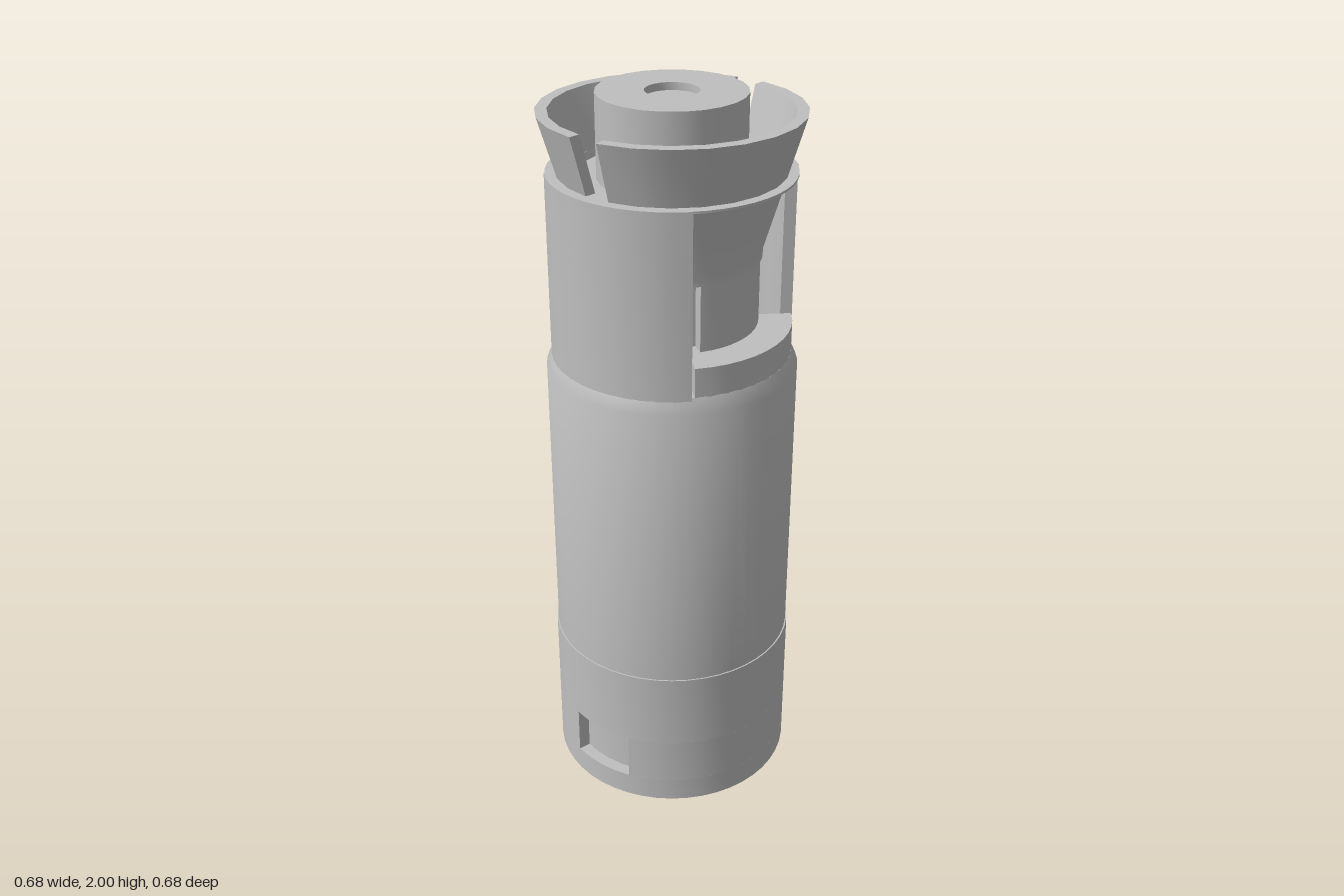
import * as THREE from 'three';
import { mergeGeometries, toCreasedNormals } from 'three/addons/utils/BufferGeometryUtils.js';

const TAU = Math.PI * 2;

// Revolve a counterclockwise [radius, y] profile through an angle range (0 = front), capping open ends.
function sector(profile, centre = 0, half = Math.PI, sides = 24) {
  const pts = profile.map(([r, y]) => new THREE.Vector2(r, y));
  const full = half >= Math.PI;
  const loop = profile[0][0] === 0 ? pts : [...pts, pts[0].clone()];
  const start = centre - half, span = half * 2;
  const segments = Math.max(2, Math.round(sides * span / TAU));
  const parts = [new THREE.LatheGeometry(loop, segments, start, span)];
  if (!full) {
    for (const [angle, flip] of [[start, false], [start + span, true]]) {
      const cap = new THREE.ShapeGeometry(new THREE.Shape(pts));
      if (flip) cap.setIndex(Array.from(cap.index.array).reverse());
      cap.rotateY(angle - Math.PI / 2);
      parts.push(cap);
    }
  }
  return toCreasedNormals(mergeGeometries(parts), 0.5);
}

// Rectangular ring profile
const band = (inner, outer, y0, y1) => [[inner, y0], [outer, y0], [outer, y1], [inner, y1]];

export function createModel() {
  const model = new THREE.Group();
  const grey = new THREE.MeshStandardMaterial({ color: 0xbfbfbf });
  grey.name = 'plain grey';

  const add = (name, geometry) => {
    const mesh = new THREE.Mesh(geometry, grey);
    mesh.name = name;
    model.add(mesh);
  };

  // Base collar with a square notch in the front and a small hollow underneath
  const notch = 0.28, R = 0.342;
  add('baseBottom', sector([[0, 0.04], [0.06, 0.04], [0.06, 0], [R, 0], [R, 0.07], [0, 0.07]], 0, Math.PI, 48));
  add('baseMiddle', sector(band(0.27, R, 0.07, 0.21), Math.PI, Math.PI - notch, 48));
  add('notchFloor', sector(band(0.27, 0.308, 0.07, 0.21), 0, notch, 48));
  add('baseTop', sector(band(0.2, R, 0.21, 0.435), 0, Math.PI, 48));

  // Main barrel with a chamfered shoulder
  add('barrel', sector([[0, 0.43], [0.338, 0.43], [0.338, 1.27], [0.32, 1.31], [0, 1.31]], 0, Math.PI, 48));

  // Centre post with a shallow dimple on top
  add('centrePost', sector([[0, 1.3], [0.193, 1.3], [0.193, 2], [0.07, 2], [0.07, 1.98], [0, 1.98]]));

  // Tall front and back walls, low side shelves and the window plates above them
  for (const [side, a] of [['front', 0], ['back', Math.PI]]) {
    add(side + 'Wall', sector(band(0.292, 0.324, 1.3, 1.8), a, 0.81, 48));
  }
  for (const [side, a] of [['left', Math.PI / 2], ['right', -Math.PI / 2]]) {
    add(side + 'Shelf', sector(band(0.15, 0.32, 1.3, 1.39), a, 0.735, 48));
    add(side + 'WindowPlate', sector(band(0.18, 0.23, 1.39, 1.575), a, 0.6, 48));
  }
  add('wallTopRing', sector(band(0.285, 0.322, 1.794, 1.8), 0, Math.PI, 48));

  // Flared cup: lower funnel with its floor, then the lip split by front and back slots
  add('funnel', sector([[0.18, 1.57], [0.235, 1.57], [0.237, 1.6], [0.296, 1.8],
    [0.265, 1.8], [0.258, 1.78], [0.18, 1.78]]));
  for (const [side, a] of [['left', Math.PI / 2], ['right', -Math.PI / 2]]) {
    add(side + 'Lip', sector([[0.265, 1.8], [0.296, 1.8], [0.342, 1.955], [0.311, 1.955]],
      a, Math.PI / 2 - 0.119));
  }
  return model;
}
